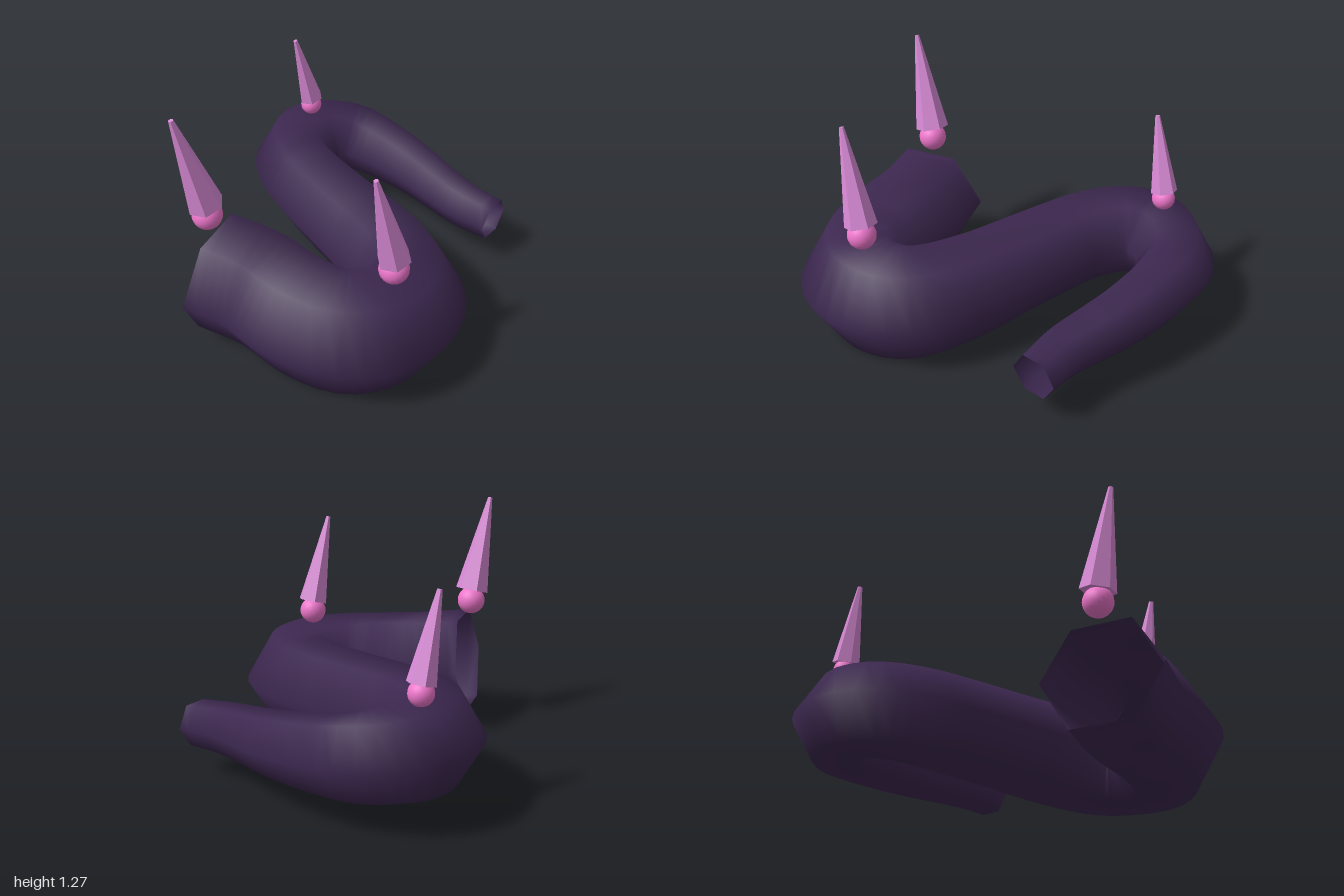
import * as THREE from 'three';

// Centre line of the body: x, y, z and section radius
const PATH = [
  [-0.02, 0.355, 0.70, 0.30], [0.20, 0.325, 0.57, 0.30], [0.45, 0.285, 0.49, 0.30],
  [0.63, 0.265, 0.37, 0.30], [0.70, 0.26, 0.20, 0.30], [0.67, 0.262, 0.05, 0.29],
  [0.59, 0.265, -0.045, 0.285], [0.45, 0.272, -0.10, 0.275], [0.20, 0.285, -0.125, 0.262],
  [0.00, 0.297, -0.122, 0.253], [-0.30, 0.315, -0.122, 0.245], [-0.47, 0.328, -0.135, 0.24],
  [-0.66, 0.34, -0.20, 0.235], [-0.75, 0.345, -0.30, 0.232], [-0.77, 0.345, -0.40, 0.23],
  [-0.75, 0.343, -0.51, 0.216], [-0.66, 0.333, -0.635, 0.20], [-0.465, 0.312, -0.71, 0.178],
  [-0.20, 0.287, -0.755, 0.155], [0.00, 0.27, -0.765, 0.139], [0.18, 0.257, -0.778, 0.128],
  [0.37, 0.245, -0.83, 0.117],
];
const SIDES = 6, STEPS = 72;

// Open six-sided tube swept along the path, flat sides up and down, tapering to the tail
function bodyGeometry() {
  const curve = new THREE.CatmullRomCurve3(PATH.map(p => new THREE.Vector3(p[0], p[1], p[2])));
  const up = new THREE.Vector3(0, 1, 0);
  const positions = [], indices = [];
  for (let i = 0; i <= STEPS; i++) {
    const t = curve.getUtoTmapping(i / STEPS);
    const c = curve.getPoint(t), tangent = curve.getTangent(t);
    const f = t * (PATH.length - 1), k = Math.min(Math.floor(f), PATH.length - 2);
    const r = THREE.MathUtils.lerp(PATH[k][3], PATH[k + 1][3], f - k);
    const side = new THREE.Vector3().crossVectors(tangent, up).normalize();
    const top = new THREE.Vector3().crossVectors(side, tangent);
    for (let j = 0; j < SIDES; j++) {
      const a = j / SIDES * Math.PI * 2;
      const p = c.clone().addScaledVector(side, r * Math.cos(a)).addScaledVector(top, r * Math.sin(a));
      positions.push(p.x, p.y, p.z);
      if (i < STEPS) {
        const a0 = i * SIDES + j, b0 = i * SIDES + (j + 1) % SIDES;
        indices.push(a0, b0, a0 + SIDES, b0, b0 + SIDES, a0 + SIDES);
      }
    }
  }
  const g = new THREE.BufferGeometry();
  g.setAttribute('position', new THREE.Float32BufferAttribute(positions, 3));
  g.setIndex(indices);
  g.computeVertexNormals();
  return g;
}

export function createModel() {
  const model = new THREE.Group();
  const bodyMat = new THREE.MeshStandardMaterial({ color: 0x3d2850, side: THREE.DoubleSide });
  const spikeMat = new THREE.MeshStandardMaterial({ color: 0xd98ad6, flatShading: true });
  const ballMat = new THREE.MeshStandardMaterial({ color: 0xee77cc });

  const body = new THREE.Mesh(bodyGeometry(), bodyMat);
  body.name = 'body';
  model.add(body);

  // Ball joints, each with a forward-leaning spike above it
  const lean = 0.25;
  const spikes = [
    { name: 'front', x: -0.025, ball: [0.703, 0.71, 0.075], base: [0.76, 0.712], r: 0.09, len: 0.52 },
    { name: 'middle', x: 0.705, ball: [0.60, 0.155, 0.073], base: [0.655, 0.155], r: 0.083, len: 0.495 },
    { name: 'back', x: -0.775, ball: [0.592, -0.395, 0.06], base: [0.633, -0.395], r: 0.069, len: 0.41 },
  ];
  for (const s of spikes) {
    const ball = new THREE.Mesh(new THREE.SphereGeometry(s.ball[2], 20, 14), ballMat);
    ball.name = s.name + 'Ball';
    ball.position.set(s.x, s.ball[0], s.ball[1]);

    const geo = new THREE.CylinderGeometry(0.012, s.r, s.len, 6).translate(0, s.len / 2, 0);
    const spike = new THREE.Mesh(geo, spikeMat);
    spike.name = s.name + 'Spike';
    spike.position.set(s.x, s.base[0], s.base[1]);
    spike.rotation.x = lean;
    model.add(ball, spike);
  }
  return model;
}
